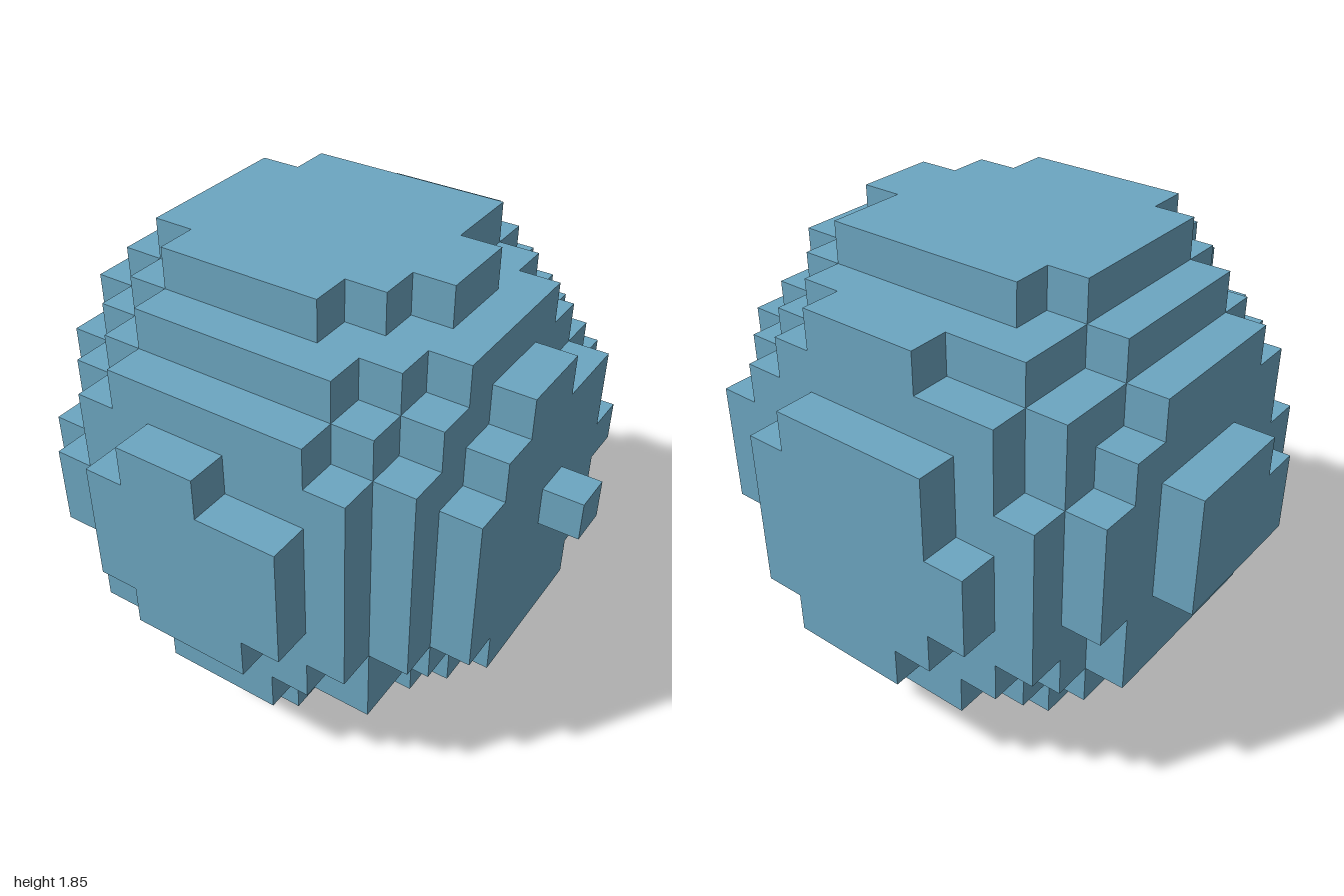
import * as THREE from 'three';

// Grid of cubes: cell counts on x, y, z and the edge length of one cube
const COUNT = [13, 12, 12];
const CELL = 2 / 13;
const ORIGIN = [-1, 0, -6 * CELL];

// A cube is solid when its centre lies inside this slightly off-centre ball (in cells)
const CENTRE = [5.87, 5.82, 5.35];
const RADIUS_SQ = 37.86;
const solid = (cell) =>
  cell.reduce((sum, c, axis) => sum + (c - CENTRE[axis]) ** 2, 0) <= RADIUS_SQ;

// Only the exposed cube faces are built, each as one flat quad
function blockSurface() {
  const positions = [], normals = [], indices = [];

  function addFace(cell, axis, sign) {
    const u = (axis + 1) % 3, v = (axis + 2) % 3;
    const first = positions.length / 3;
    for (const [du, dv] of [[0, 0], [1, 0], [1, 1], [0, 1]]) {
      const corner = [...cell];
      corner[u] += du;
      corner[v] += dv;
      if (sign > 0) corner[axis] += 1;
      positions.push(...corner.map((c, i) => ORIGIN[i] + c * CELL));
      const normal = [0, 0, 0];
      normal[axis] = sign;
      normals.push(...normal);
    }
    const order = sign > 0 ? [0, 1, 2, 0, 2, 3] : [0, 2, 1, 0, 3, 2];
    indices.push(...order.map((i) => first + i));
  }

  for (let x = 0; x < COUNT[0]; x++)
    for (let y = 0; y < COUNT[1]; y++)
      for (let z = 0; z < COUNT[2]; z++) {
        const cell = [x, y, z];
        if (!solid(cell)) continue;
        for (let axis = 0; axis < 3; axis++)
          for (const sign of [-1, 1]) {
            const neighbour = [...cell];
            neighbour[axis] += sign;
            if (!solid(neighbour)) addFace(cell, axis, sign);
          }
      }

  const geometry = new THREE.BufferGeometry();
  geometry.setAttribute('position', new THREE.Float32BufferAttribute(positions, 3));
  geometry.setAttribute('normal', new THREE.Float32BufferAttribute(normals, 3));
  geometry.setIndex(indices);
  return geometry;
}

export function createModel() {
  const group = new THREE.Group();
  group.name = 'blockBall';

  const blue = new THREE.MeshStandardMaterial({ color: 0x6ca6c1 });
  blue.name = 'soft blue';

  const ball = new THREE.Mesh(blockSurface(), blue);
  ball.name = 'steppedSphere';
  group.add(ball);
  return group;
}
